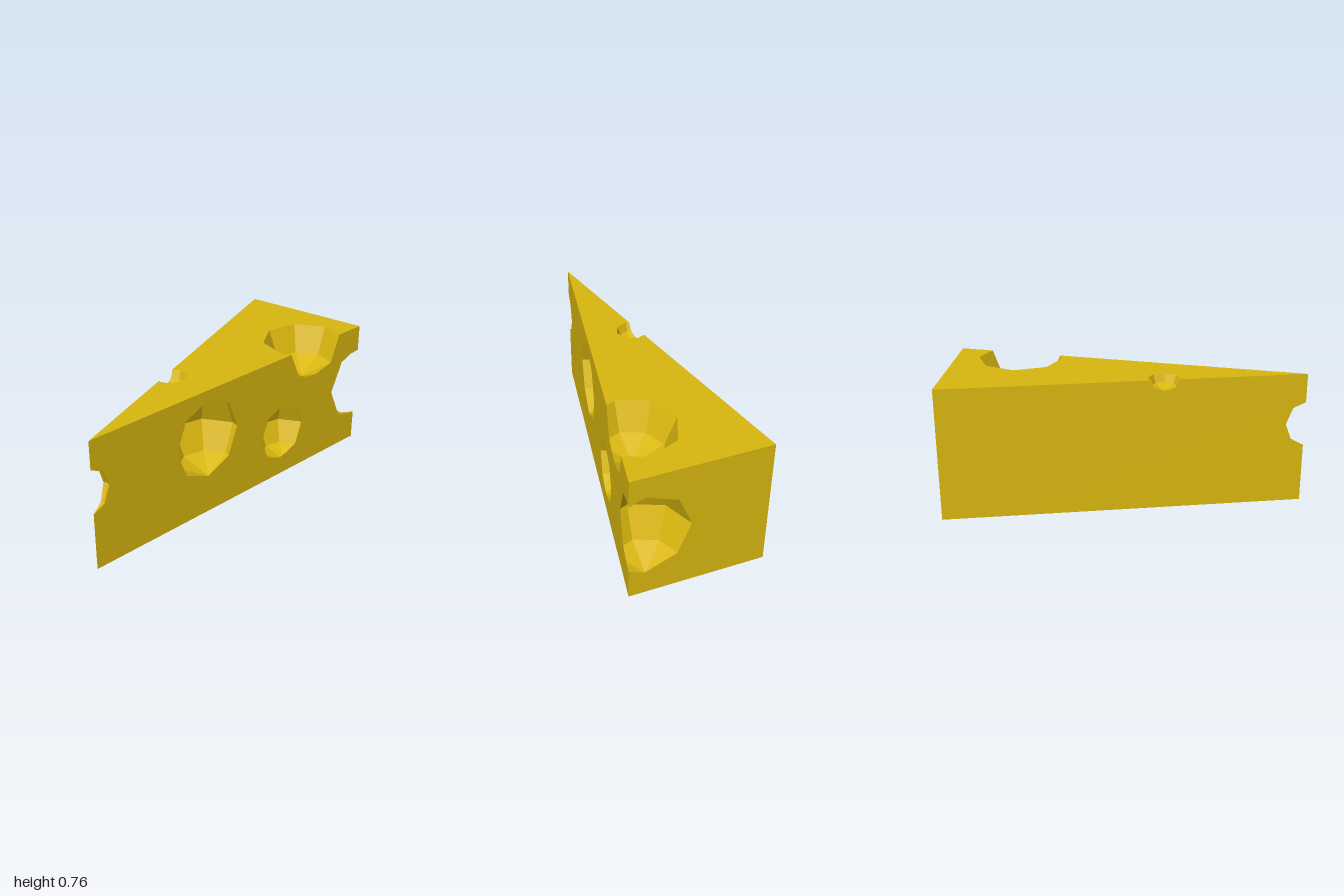
import * as THREE from 'three';

const HEIGHT = 0.76, HALF = 0.38, EPS = 1e-7;
const v = (x, y, z) => new THREE.Vector3(x, y, z);
const planeOf = (poly) => new THREE.Plane().setFromCoplanarPoints(poly[0], poly[1], poly[2]);

// Bubbles: centre x, y, z and radius
const BUBBLES = [
  ['frontLargeHole', -0.233, 0.465, 0.145, 0.235],
  ['frontSmallHole', 0.342, 0.283, 0.28, 0.18],
  ['topCornerHole', 0.625, 0.778, 0.215, 0.25],
  ['rindCornerHole', 1.008, 0.39, 0.293, 0.251],
  ['tipHole', -1.022, 0.467, 0, 0.137],
  ['backRimHole', -0.2125, 0.785, -0.117, 0.1],
];

// Outward faces of the triangular prism
function wedgeFaces() {
  const plan = [[-1, 0], [1, HALF], [1, -HALF]];
  const low = plan.map(([x, z]) => v(x, 0, z));
  const top = plan.map(([x, z]) => v(x, HEIGHT, z));
  const sides = plan.map((_, i) => {
    const j = (i + 1) % 3;
    return [low[i], low[j], top[j], top[i]];
  });
  return [top, [...low].reverse(), ...sides];
}

// Outward faces of a faceted ball: eight sides, four bands
function ballFaces(cx, cy, cz, r) {
  const point = (band, side) => {
    const p = band * Math.PI / 4, a = side * Math.PI / 4;
    return v(cx + r * Math.sin(p) * Math.cos(a), cy + r * Math.cos(p), cz + r * Math.sin(p) * Math.sin(a));
  };
  const faces = [];
  for (let s = 0; s < 8; s++) {
    faces.push([point(0, 0), point(1, s + 1), point(1, s)]);
    for (let b = 1; b < 3; b++) {
      faces.push([point(b, s), point(b, s + 1), point(b + 1, s + 1), point(b + 1, s)]);
    }
    faces.push([point(3, s), point(3, s + 1), point(4, 0)]);
  }
  return faces;
}

// Splits a convex polygon into the parts outside and inside a plane
function split(poly, plane) {
  const outside = [], inside = [];
  poly.forEach((a, i) => {
    const b = poly[(i + 1) % poly.length];
    const da = plane.distanceToPoint(a), db = plane.distanceToPoint(b);
    if (da >= -EPS) outside.push(a);
    if (da <= EPS) inside.push(a);
    if ((da > EPS && db < -EPS) || (da < -EPS && db > EPS)) {
      const cut = a.clone().lerp(b, da / (da - db));
      outside.push(cut);
      inside.push(cut);
    }
  });
  return [outside, inside];
}

// Keeps the pieces of a polygon outside a convex solid
function subtract(poly, planes) {
  const pieces = [];
  let rest = poly;
  for (const plane of planes) {
    const [outside, inside] = split(rest, plane);
    if (outside.length > 2) pieces.push(outside);
    rest = inside;
    if (rest.length < 3) return [poly];
  }
  return pieces;
}

// Keeps the part of a polygon inside a convex solid
function clip(poly, planes) {
  return planes.reduce((p, plane) => (p.length > 2 ? split(p, plane)[1] : []), poly);
}

function polygonMesh(name, polys, material) {
  const points = [];
  for (const p of polys) {
    for (let i = 1; i < p.length - 1; i++) points.push(p[0], p[i], p[i + 1]);
  }
  const geometry = new THREE.BufferGeometry().setFromPoints(points);
  geometry.computeVertexNormals();
  const mesh = new THREE.Mesh(geometry, material);
  mesh.name = name;
  return mesh;
}

export function createModel() {
  const group = new THREE.Group();
  group.name = 'cheeseWedge';
  const material = new THREE.MeshStandardMaterial({ color: 0xd9b70f, flatShading: true });

  const wedge = wedgeFaces();
  const wedgePlanes = wedge.map(planeOf);
  let outer = wedge;

  for (const [name, ...ball] of BUBBLES) {
    const faces = ballFaces(...ball);
    const planes = faces.map(planeOf);
    // Open the wedge surface where the bubble breaks through
    outer = outer.flatMap((poly) => subtract(poly, planes));
    // Line the hollow with inward-facing facets
    const lining = faces.map((f) => clip([...f].reverse(), wedgePlanes));
    group.add(polygonMesh(name, lining, material));
  }

  group.add(polygonMesh('wedgeBody', outer, material));
  return group;
}
